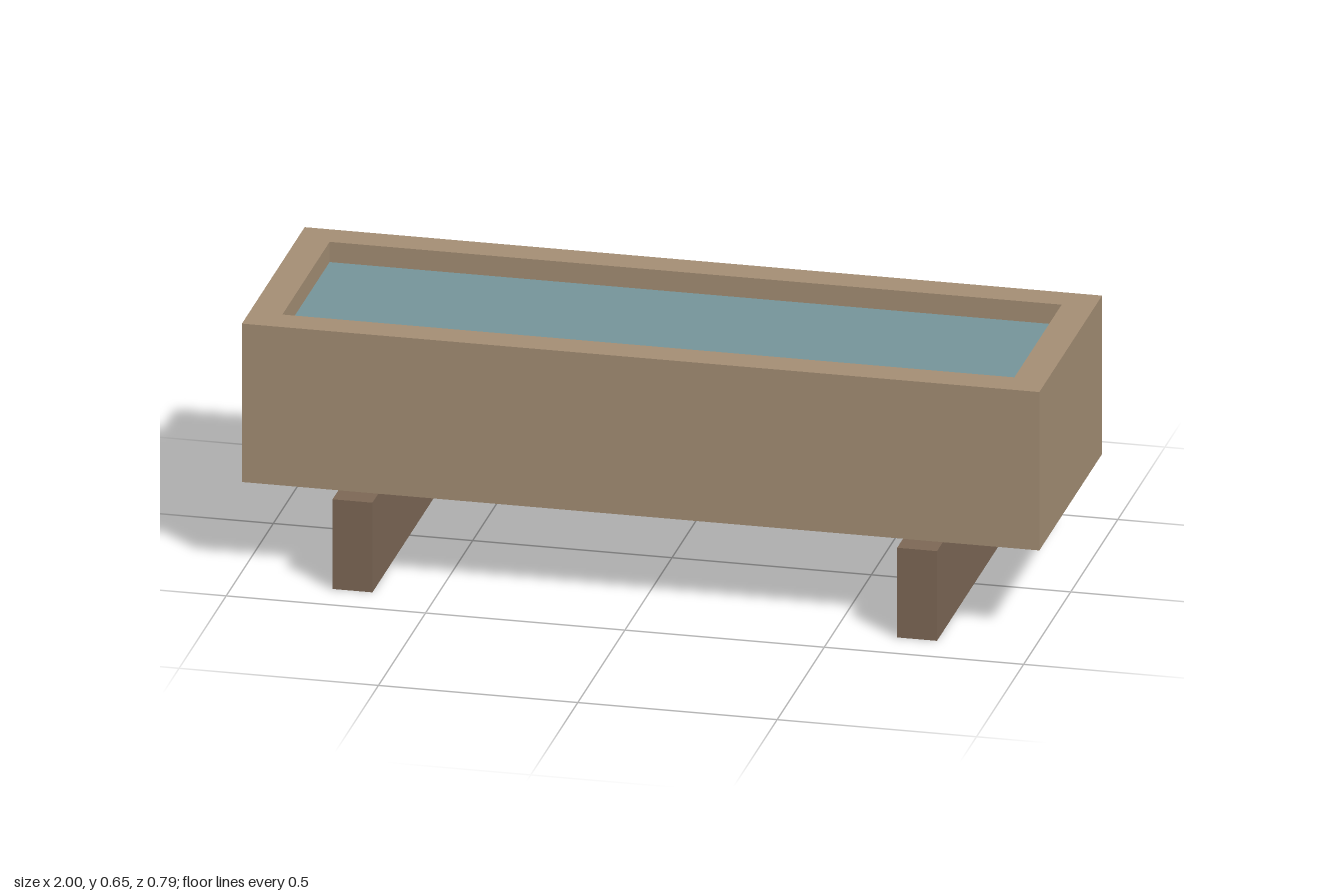
import * as THREE from 'three';

const paint = (name, color) => {
  const material = new THREE.MeshStandardMaterial({ color });
  material.name = name;
  return material;
};

export function createModel() {
  const model = new THREE.Group();
  model.name = 'waterTrough';
  const wood = paint('light wood', 0xa58f75);
  const darkWood = paint('dark wood', 0x7d6856);
  const blue = paint('water blue', 0x76959a);

  const add = (name, geometry, material, x, y, z) => {
    const mesh = new THREE.Mesh(geometry, material);
    mesh.name = name;
    mesh.position.set(x, y, z);
    model.add(mesh);
    return mesh;
  };

  const base = 0.235, top = 0.65, floor = 0.08, waterLevel = 0.597;
  const halfX = 1, halfZ = 0.333, wall = 0.082;
  const rectangle = (Type, x, z) => new Type([
    new THREE.Vector2(-x, -z), new THREE.Vector2(x, -z),
    new THREE.Vector2(x, z), new THREE.Vector2(-x, z),
  ]);

  // Four walls: a rectangular ring extruded upward from the floor
  const ring = rectangle(THREE.Shape, halfX, halfZ);
  ring.holes.push(rectangle(THREE.Path, halfX - wall, halfZ - wall));
  const walls = new THREE.ExtrudeGeometry(ring, { depth: top - base - floor, bevelEnabled: false });
  walls.rotateX(-Math.PI / 2);
  add('troughWalls', walls, wood, 0, base + floor, 0);

  // Floor slab
  add('troughFloor', new THREE.BoxGeometry(halfX * 2, floor, halfZ * 2), wood, 0, base + floor / 2, 0);

  // Water surface, set just below the rim
  const water = new THREE.PlaneGeometry((halfX - wall) * 2, (halfZ - wall) * 2);
  water.rotateX(-Math.PI / 2);
  add('water', water, blue, 0, waterLevel, 0);

  // Two cross beams carry the trough
  for (const [name, side] of [['leftSupport', 1], ['rightSupport', -1]]) {
    add(name, new THREE.BoxGeometry(0.1, base, 0.79), darkWood, side * 0.708, base / 2, 0);
  }
  return model;
}
